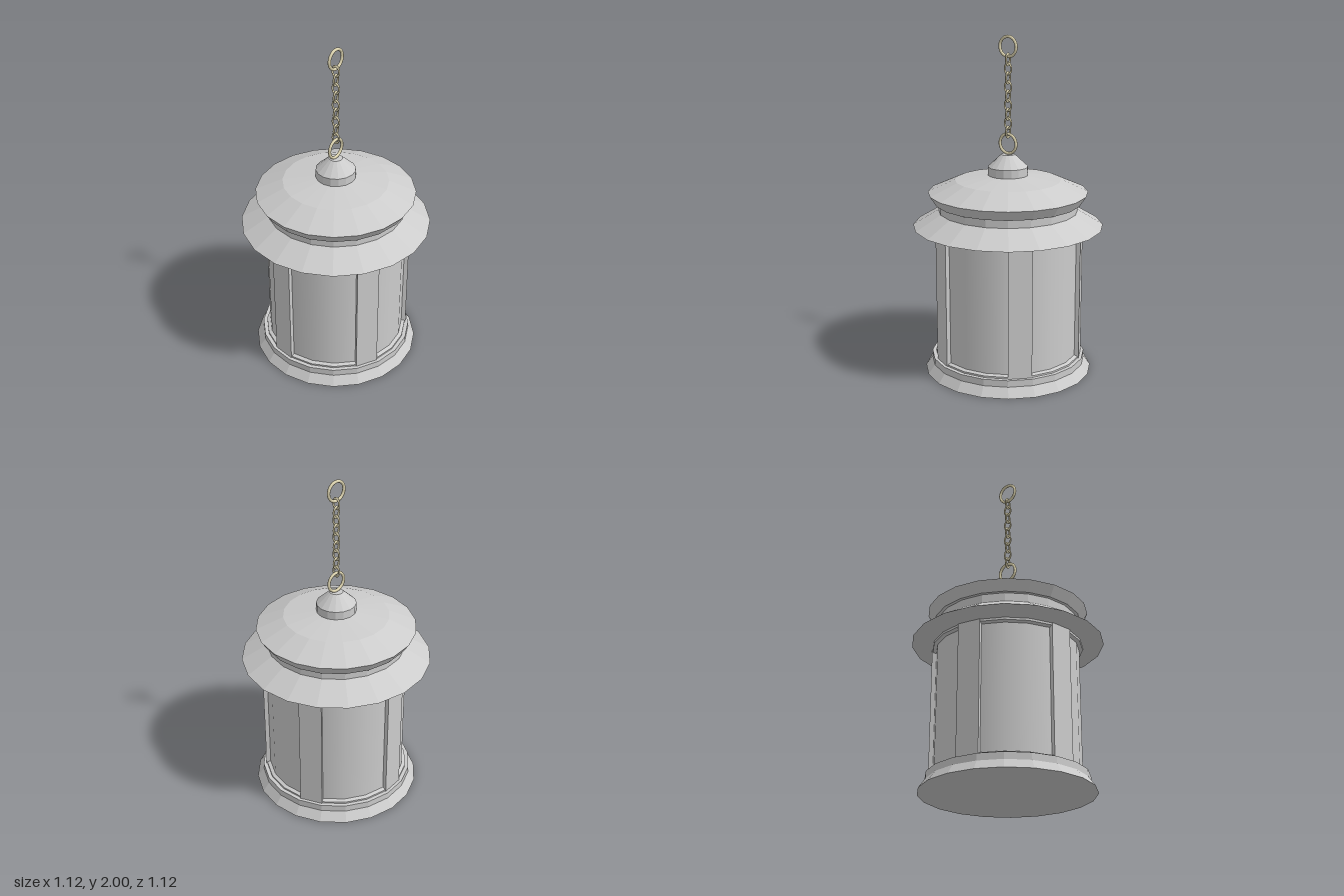
import * as THREE from 'three';

const SIDES = 20;
const STEP = (Math.PI * 2) / SIDES;

export function createModel() {
  const group = new THREE.Group();
  group.name = 'hangingLantern';
  const flat = new THREE.MeshStandardMaterial({ color: 0xcccccc, flatShading: true });
  const smooth = new THREE.MeshStandardMaterial({ color: 0xcccccc });
  const metal = new THREE.MeshStandardMaterial({ color: 0xddd4b0 });

  const add = (name, geometry, material) => {
    const mesh = new THREE.Mesh(geometry, material);
    mesh.name = name;
    group.add(mesh);
    return mesh;
  };
  // Faceted solid of revolution; profile runs from the bottom up
  const turned = (name, profile, sides = SIDES) =>
    add(name, new THREE.LatheGeometry(profile.map(([r, y]) => new THREE.Vector2(r, y)), sides), flat);

  // Stepped base with a small bevelled lip around the glass
  turned('base', [[0, 0], [0.5, 0], [0.46, 0.055], [0.46, 0.095], [0.437, 0.095], [0.437, 0.105], [0.41, 0.115]]);

  // Smooth glass cylinder
  const glass = add('glass', new THREE.CylinderGeometry(0.416, 0.416, 0.76, SIDES, 1, true), smooth);
  glass.position.y = 0.48;

  // Bevelled trim under the eave
  turned('upperTrim', [[0.41, 0.845], [0.437, 0.855], [0.437, 0.872]]);

  // Five posts, each one facet wide
  const outer = 0.442, inner = 0.405;
  for (let i = 0; i < 5; i++) {
    const a = (2 + i * 4) * STEP, b = a + STEP;
    const corner = (r, t) => new THREE.Vector2(r * Math.sin(t), -r * Math.cos(t));
    const shape = new THREE.Shape([corner(inner, a), corner(outer, a), corner(outer, b), corner(inner, b)]);
    const post = new THREE.ExtrudeGeometry(shape, { depth: 0.775, bevelEnabled: false });
    post.rotateX(-Math.PI / 2);
    add('post' + (i + 1), post, flat).position.y = 0.095;
  }

  // Two-tier roof: wide eave, neck, flared upper tier
  turned('lowerRoof', [[0, 0.868], [0.44, 0.868], [0.56, 0.89], [0.41, 0.98]]);
  turned('roofNeck', [[0.41, 0.975], [0.41, 1.03]]);
  turned('upperRoof', [[0.4, 1.03], [0.43, 1.03], [0.47, 1.09], [0.31, 1.162], [0, 1.208]]);

  // Cap holding the chain
  turned('cap', [[0.117, 1.185], [0.117, 1.24], [0.04, 1.312], [0, 1.312]], 16);

  // End rings
  for (const [name, y] of [['lowerRing', 1.375], ['upperRing', 1.934]]) {
    add(name, new THREE.TorusGeometry(0.057, 0.009, 8, 28), metal).position.y = y;
  }

  // Oval chain links, alternately turned a quarter
  const links = 9;
  for (let i = 0; i < links; i++) {
    const link = new THREE.TorusGeometry(0.024, 0.006, 6, 16);
    link.scale(0.9, 1.32, 1);
    const mesh = add('chainLink' + (i + 1), link, metal);
    mesh.position.y = 1.443 + (i * 0.418) / (links - 1);
    mesh.rotation.y = i % 2 ? 0.1 : Math.PI / 2 + 0.1;
  }
  return group;
}
